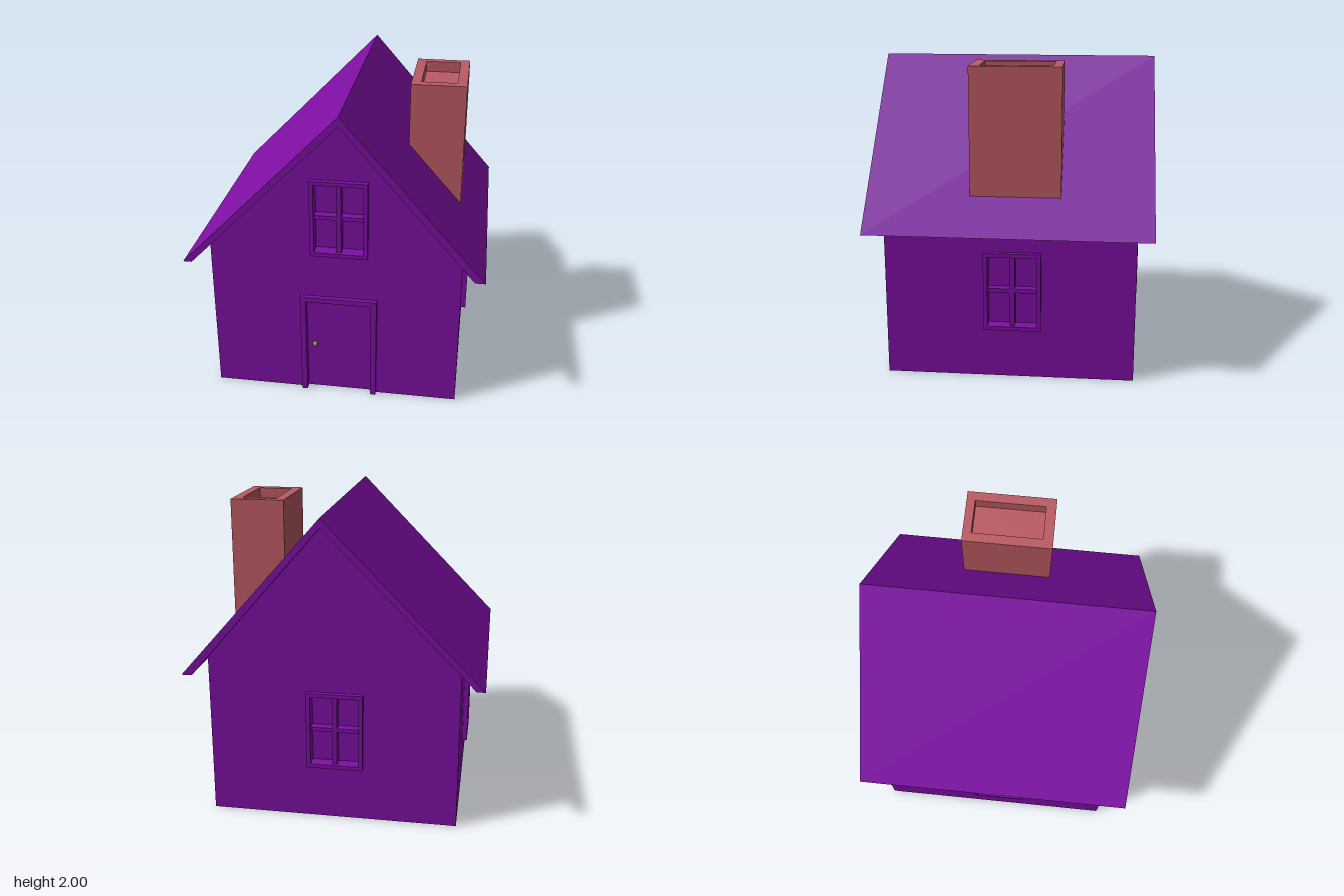
import * as THREE from 'three';

const purple = new THREE.MeshStandardMaterial({ color: 0x7d0fa3, flatShading: true });
const brick = new THREE.MeshStandardMaterial({ color: 0xbb5b63, flatShading: true });
const brass = new THREE.MeshStandardMaterial({ color: 0x8b7d3c });

const WALL = 0.05;                       // wall thickness
const X = 0.805, FRONT = 0.79, BACK = -0.805;
const WIN_W = 0.365, WIN_H = 0.515, RIM = 0.026;

const points = (list) => list.map(([x, y]) => new THREE.Vector2(x, y));
const rect = (cx, cy, w, h) => points([
  [cx - w / 2, cy - h / 2], [cx + w / 2, cy - h / 2],
  [cx + w / 2, cy + h / 2], [cx - w / 2, cy + h / 2]]);

// Extrudes an outline, with optional holes, from z0 to z1
function slab(name, outline, z0, z1, holes = [], material = purple) {
  const shape = new THREE.Shape(outline);
  holes.forEach((h) => shape.holes.push(new THREE.Path(h)));
  const geo = new THREE.ExtrudeGeometry(shape, { depth: z1 - z0, bevelEnabled: false });
  geo.translate(0, 0, z0);
  const mesh = new THREE.Mesh(geo, material);
  mesh.name = name;
  return mesh;
}

function box(name, w, h, d, x, y, z, material = purple) {
  const mesh = new THREE.Mesh(new THREE.BoxGeometry(w, h, d), material);
  mesh.position.set(x, y, z);
  mesh.name = name;
  return mesh;
}

// Opening left in a wall behind a window frame
const opening = (cx, cy) => rect(cx, cy, WIN_W - 0.02, WIN_H - 0.02);

// Framed four-pane window facing +z, with the wall surface at z = 0
function makeWindow(name) {
  const g = new THREE.Group();
  g.name = name;
  const innerW = WIN_W - 2 * RIM, innerH = WIN_H - 2 * RIM;
  g.add(slab('windowFrame', rect(0, 0, WIN_W, WIN_H), -WALL, 0.032, [rect(0, 0, innerW, innerH)]));
  g.add(box('verticalBar', 0.03, innerH, 0.06, 0, 0, -0.02));
  g.add(box('horizontalBar', innerW, 0.026, 0.055, 0, 0.003, -0.0225));
  return g;
}

export function createModel() {
  const house = new THREE.Group();
  house.name = 'house';

  // Solid core; its faces show as the panes behind the wall openings
  const ci = X - WALL;
  house.add(slab('core', points([[-ci, 0], [ci, 0], [ci, 1.12], [0.05, 1.94], [-ci, 1.12]]),
    BACK + WALL, FRONT - WALL));

  // Gable walls, the front one notched for the door
  const gableTop = [[X, 1.068], [0.05, 1.945], [-X, 1.072]];
  const frontOutline = points([[-X, 0], [-0.2, 0], [-0.2, 0.7], [0.25, 0.7], [0.25, 0], [X, 0], ...gableTop]);
  house.add(slab('frontWall', frontOutline, FRONT - WALL, FRONT, [opening(0.032, 1.293)]));
  house.add(slab('backWall', points([[-X, 0], [X, 0], ...gableTop]), BACK, BACK + WALL, [opening(-0.015, 0.615)]));

  // Side walls
  const midZ = (FRONT + BACK) / 2, sideLen = FRONT - BACK - 2 * WALL;
  for (const [name, s, zc, yc] of [['leftWall', 1, -0.025, 0.585], ['rightWall', -1, 0.025, 0.57]]) {
    const wall = slab(name, rect(0, 0.535, sideLen, 1.07), -WALL, 0, [opening(-s * (zc - midZ), yc)]);
    wall.rotation.y = s * Math.PI / 2;
    wall.position.set(s * X, 0, midZ);
    house.add(wall);
  }

  // Windows: name, position, turn
  for (const [name, x, y, z, turn] of [
    ['frontWindow', 0.032, 1.293, FRONT, 0],
    ['backWindow', -0.015, 0.615, BACK, Math.PI],
    ['leftWindow', X, 0.585, -0.025, Math.PI / 2],
    ['rightWindow', -X, 0.57, 0.025, -Math.PI / 2],
  ]) {
    const win = makeWindow(name);
    win.position.set(x, y, z);
    win.rotation.y = turn;
    house.add(win);
  }

  // Door, surround and knob
  const surround = points([[-0.225, 0], [-0.188, 0], [-0.188, 0.69], [0.238, 0.69],
    [0.238, 0], [0.275, 0], [0.275, 0.725], [-0.225, 0.725]]);
  house.add(slab('doorFrame', surround, FRONT - WALL, FRONT + 0.03));
  house.add(box('door', 0.44, 0.695, 0.03, 0.025, 0.3475, FRONT - 0.035));
  const knob = new THREE.Mesh(new THREE.SphereGeometry(0.019, 20, 14), brass);
  knob.position.set(-0.135, 0.347, FRONT - 0.005);
  knob.name = 'doorKnob';
  house.add(knob);

  // Roof with its ridge slightly off centre
  house.add(slab('roof', points([[-0.955, 0.975], [-0.9, 0.975], [0.05, 1.94], [0.885, 0.975],
    [0.95, 0.975], [0.05, 2]]), -0.905, 0.902));

  // Chimney: hollow rim above a solid stack
  const chimney = new THREE.Group();
  chimney.name = 'chimney';
  const rim = slab('chimneyRim', rect(0.583, 0.04, 0.355, 0.57), 1.93, 2, [rect(0.583, 0.045, 0.23, 0.45)], brick);
  rim.rotation.x = -Math.PI / 2;
  chimney.add(rim, box('chimneyStack', 0.355, 0.77, 0.57, 0.583, 1.545, -0.04, brick));
  house.add(chimney);

  return house;
}
